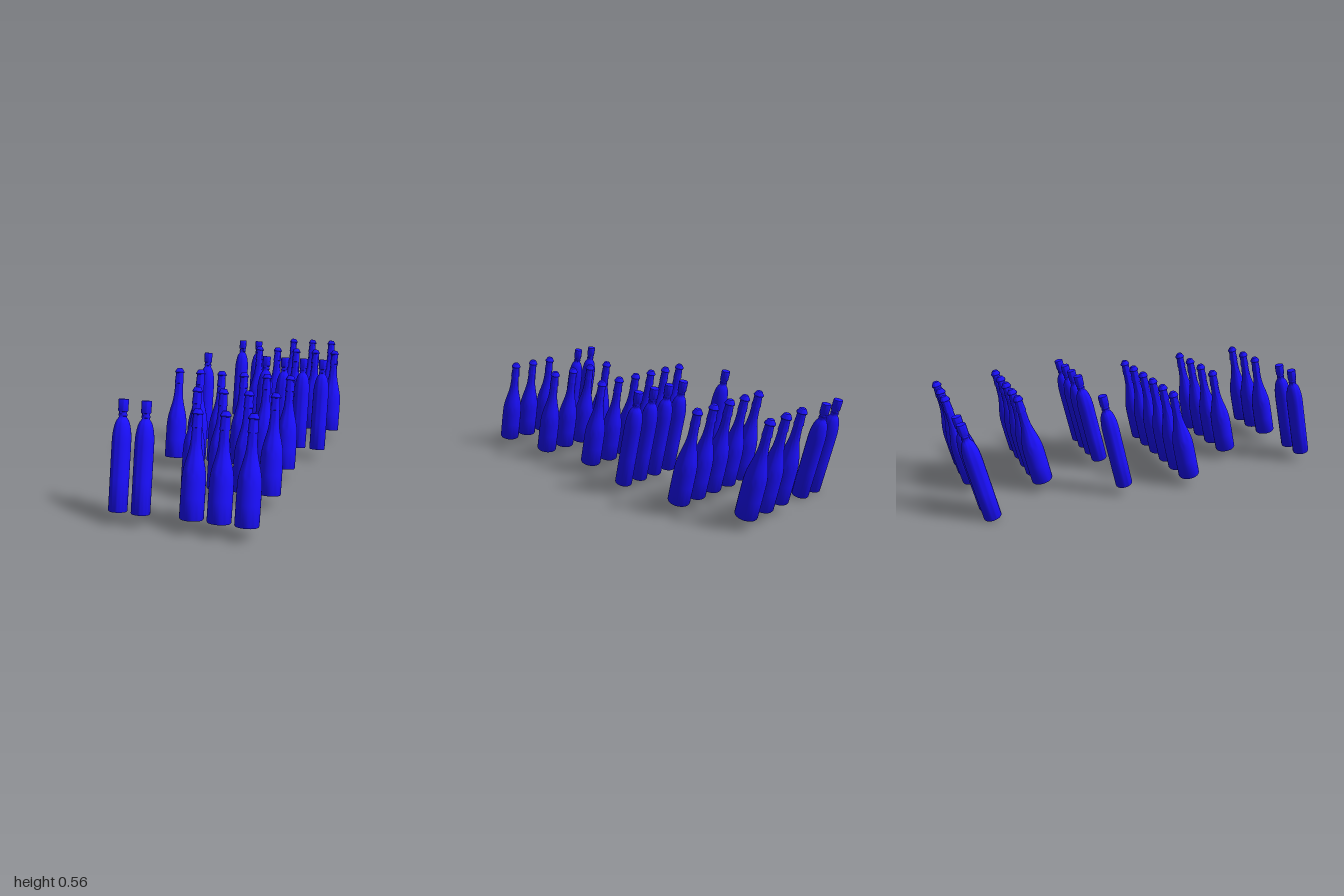
import * as THREE from 'three';
import { toCreasedNormals } from 'three/addons/utils/BufferGeometryUtils.js';

const TILT = THREE.MathUtils.degToRad(-13.1);
const SEGMENTS = 32;
const glass = new THREE.MeshStandardMaterial({ color: 0x1a0fff });

// Turned part from [radius, height] pairs, bottom to top
function turned(points) {
  const profile = points.map(([r, h]) => new THREE.Vector2(r, h));
  return toCreasedNormals(new THREE.LatheGeometry(profile, SEGMENTS), 0.6);
}

// Straight bottle with round shoulders, a neck ring and a tall cap
const straightParts = {
  body: turned([
    [0, 0.003], [0.036, 0], [0.0415, 0.001], [0.0435, 0.005], [0.0437, 0.15], [0.0437, 0.31],
    [0.043, 0.34], [0.041, 0.362], [0.0375, 0.383], [0.033, 0.402], [0.027, 0.416],
    [0.0205, 0.425], [0.018, 0.43], [0.0175, 0.456],
  ]),
  neckRing: turned([
    [0.0175, 0.434], [0.02, 0.435], [0.0205, 0.439], [0.02, 0.444], [0.0175, 0.445],
  ]),
  cap: turned([
    [0.0175, 0.454], [0.0215, 0.455], [0.0225, 0.458], [0.0233, 0.507], [0.0218, 0.511], [0, 0.512],
  ]),
};

// Wide bottle with long sloping shoulders, a foil collar and a mushroom stopper
const slopingParts = {
  body: turned([
    [0, 0.003], [0.046, 0], [0.052, 0.001], [0.0547, 0.006], [0.0548, 0.1], [0.0543, 0.17],
    [0.0525, 0.202], [0.049, 0.227], [0.0435, 0.252], [0.037, 0.277], [0.031, 0.302],
    [0.0262, 0.327], [0.0235, 0.352], [0.022, 0.38], [0.021, 0.41], [0.0195, 0.47],
  ]),
  foilCollar: turned([
    [0.0215, 0.407], [0.0242, 0.408], [0.0236, 0.412], [0.0212, 0.44], [0.0203, 0.466],
  ]),
  stopper: turned([
    [0.0195, 0.464], [0.0245, 0.465], [0.0258, 0.469], [0.0235, 0.475], [0.0195, 0.48],
    [0.0175, 0.486], [0.013, 0.49], [0, 0.491],
  ]),
};

function makeBottle(parts, name) {
  const bottle = new THREE.Group();
  bottle.name = name;
  for (const [part, geometry] of Object.entries(parts)) {
    const mesh = new THREE.Mesh(geometry, glass);
    mesh.name = part;
    bottle.add(mesh);
  }
  return bottle;
}

// Rows from back to front: base centre height and depth, and bottle positions across
const rows = [
  { kind: 'straight', y: 0.01, z: -0.848, xs: [-0.33, -0.217] },
  { kind: 'sloping', y: 0.058, z: -0.868, xs: [0.024, 0.153, 0.28] },
  { kind: 'sloping', y: 0.058, z: -0.533, xs: [-0.118, 0, 0.12, 0.243, 0.362] },
  { kind: 'straight', y: 0.055, z: -0.156, xs: [-0.33, 0.03, 0.14, 0.25, 0.362] },
  { kind: 'sloping', y: 0.058, z: 0.207, xs: [-0.363, -0.24, -0.118, 0.007, 0.135, 0.262] },
  { kind: 'sloping', y: 0.058, z: 0.575, xs: [-0.118, 0.017, 0.147, 0.28] },
  { kind: 'straight', y: 0.055, z: 0.953, xs: [-0.33, -0.217] },
  { kind: 'sloping', y: 0.058, z: 0.943, xs: [0.024, 0.153, 0.28] },
];

export function createModel() {
  const model = new THREE.Group();
  model.name = 'bottleRows';
  rows.forEach(({ kind, y, z, xs }, i) => {
    const row = new THREE.Group();
    row.name = `bottleRow${i + 1}`;
    for (const x of xs) {
      const bottle = makeBottle(kind === 'straight' ? straightParts : slopingParts, `${kind}Bottle`);
      bottle.position.set(x, y, z);
      bottle.rotation.x = TILT; // necks lean back
      row.add(bottle);
    }
    model.add(row);
  });
  return model;
}
